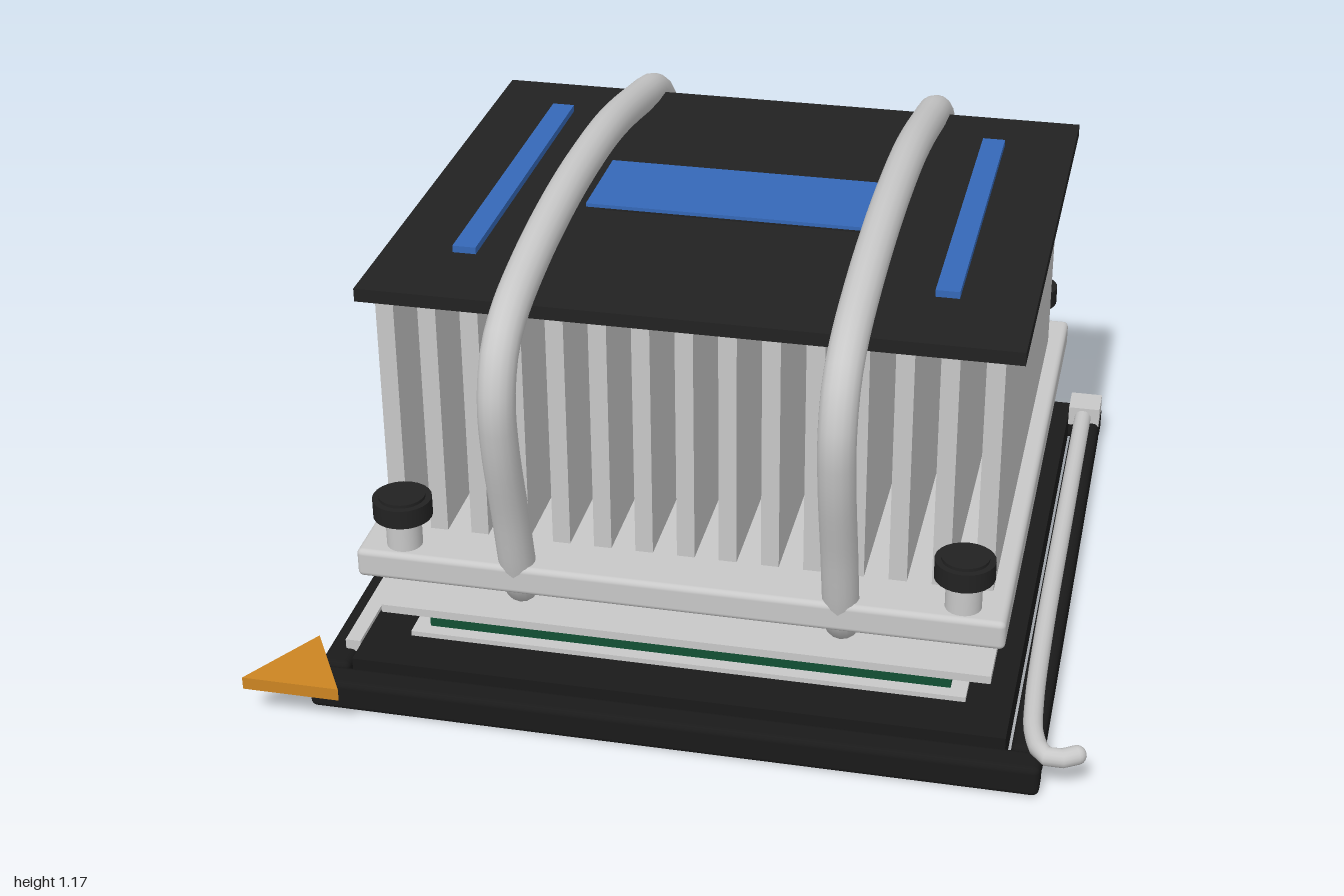
import * as THREE from 'three';
import { RoundedBoxGeometry } from 'three/addons/geometries/RoundedBoxGeometry.js';

const mat = (name, color) => {
  const m = new THREE.MeshStandardMaterial({ color });
  m.name = name;
  return m;
};

export function createModel() {
  const root = new THREE.Group();
  root.name = 'processorCooler';
  const black = mat('black plastic', 0x1a1a1a);
  const darkPlate = mat('dark plate', 0x222222);
  const metal = mat('light metal', 0xc8c8c8);
  const green = mat('board green', 0x125034);
  const blue = mat('accent blue', 0x3568b8);
  const gold = mat('marker gold', 0xcc8522);

  // Shared centre of the stacked parts
  const CX = 0.016, CZ = -0.04;
  const stack = new THREE.Group();
  stack.name = 'stack';
  stack.position.set(CX, 0, CZ);
  root.add(stack);

  const add = (parent, name, geo, material, x = 0, y = 0, z = 0) => {
    const m = new THREE.Mesh(geo, material);
    m.name = name;
    m.position.set(x, y, z);
    parent.add(m);
    return m;
  };
  // Box given by its bottom and top heights; r rounds the edges
  const slab = (name, material, w, d, y0, y1, x = 0, z = 0, r = 0) => {
    const h = y1 - y0;
    const geo = r ? new RoundedBoxGeometry(w, h, d, 3, r) : new THREE.BoxGeometry(w, h, d);
    return add(stack, name, geo, material, x, (y0 + y1) / 2, z);
  };

  // Socket: deck inside a frame of four rails
  slab('socketDeck', black, 1.59, 1.62, 0.005, 0.102);
  for (const s of [-1, 1]) {
    slab('socketEndRail', black, 1.766, 0.075, 0, 0.08, 0, s * 0.848, 0.016);
    slab('socketSideRail', black, 0.075, 1.61, 0, 0.08, s * 0.845, 0, 0.016);
  }
  slab('socketPlate', metal, 1.37, 1.37, 0.102, 0.115);
  slab('sideBar', metal, 0.038, 1.5, 0.075, 0.106, -0.817, -0.01);

  // Circuit board with small components along each edge
  slab('circuitBoard', green, 1.29, 1.305, 0.115, 0.146);
  for (let i = -3; i <= 3; i++) {
    for (const s of [-1, 1]) {
      slab('edgeComponent', black, 0.05, 0.03, 0.146, 0.158, i * 0.152, s * 0.605);
      slab('edgeComponent', black, 0.03, 0.05, 0.146, 0.158, s * 0.605, i * 0.152);
    }
  }

  // Heat spreader, retention plate and cold block
  slab('heatSpreader', metal, 1.13, 1.12, 0.146, 0.187);
  slab('retentionPlate', metal, 1.49, 1.436, 0.185, 0.206);
  slab('contactPad', metal, 0.985, 0.985, 0.206, 0.235);
  slab('coldBlock', metal, 1.074, 1.074, 0.23, 0.315, 0, 0, 0.014);
  slab('coolerBase', metal, 1.554, 1.554, 0.32, 0.394, 0, 0, 0.014);

  // Fins and cover
  for (let i = -7; i <= 7; i++) {
    slab('fin', metal, 0.043, 1.286, 0.39, 1.002, i * 0.1016);
  }
  slab('topCover', darkPlate, 1.554, 1.32, 1.0, 1.033);
  slab('centreAccentPad', darkPlate, 0.66, 0.24, 1.033, 1.046);
  slab('centreAccent', blue, 0.72, 0.27, 1.045, 1.054);
  for (const s of [-1, 1]) slab('sideAccent', blue, 0.057, 0.9, 1.045, 1.062, s * 0.574);

  // Corner thumbscrews
  const stem = new THREE.CylinderGeometry(0.043, 0.043, 0.09, 24);
  const head = new THREE.CylinderGeometry(0.071, 0.071, 0.048, 24);
  const cap = new THREE.CylinderGeometry(0.056, 0.056, 0.01, 24);
  for (const sx of [-1, 1]) for (const sz of [-1, 1]) {
    const screw = new THREE.Group();
    screw.name = 'thumbscrew';
    screw.position.set(sx * 0.672, 0, sz * 0.719);
    add(screw, 'screwStem', stem, metal, 0, 0.435, 0);
    add(screw, 'screwHead', head, darkPlate, 0, 0.498, 0);
    add(screw, 'screwCap', cap, darkPlate, 0, 0.525, 0);
    stack.add(screw);
  }

  // Round-ended tube along a smooth path
  const tube = (name, points, radius, segments) => {
    const g = new THREE.Group();
    g.name = name;
    const curve = new THREE.CatmullRomCurve3(points.map((p) => new THREE.Vector3(...p)));
    add(g, name + 'Body', new THREE.TubeGeometry(curve, segments, radius, 16), metal);
    for (const p of [points[0], points[points.length - 1]]) {
      add(g, name + 'End', new THREE.SphereGeometry(radius, 16, 10), metal, ...p);
    }
    root.add(g);
  };

  // Heat pipes: z, y along the arch
  const arch = [
    [0.625, 0.303], [0.67, 0.31], [0.695, 0.38], [0.735, 0.54], [0.79, 0.75], [0.8, 0.88],
    [0.76, 0.98], [0.675, 1.037], [0.476, 1.087], [0.23, 1.116], [0, 1.123], [-0.27, 1.11],
    [-0.566, 1.062], [-0.754, 1.017], [-0.835, 0.953], [-0.88, 0.83], [-0.868, 0.705],
    [-0.82, 0.52], [-0.785, 0.385], [-0.755, 0.315], [-0.705, 0.303],
  ];
  for (const x of [-0.372, 0.405]) {
    tube('heatPipe', arch.map(([z, y]) => [x, y, z]), 0.044, 72);
  }

  // Locking lever and its hinge
  tube('lockingLever', [
    [0.852, 0.095, -0.83], [0.852, 0.095, -0.3], [0.853, 0.095, 0.3], [0.86, 0.095, 0.6],
    [0.873, 0.095, 0.73], [0.905, 0.095, 0.805], [0.945, 0.095, 0.808], [0.977, 0.096, 0.79],
  ], 0.023, 48);
  add(root, 'leverHinge', new THREE.BoxGeometry(0.086, 0.055, 0.09), metal, 0.855, 0.098, -0.85);

  // Triangular corner markers pointing to the back
  const marker = (name, r, h, x, y, z) => {
    const geo = new THREE.CylinderGeometry(r, r, h, 3).toNonIndexed();
    geo.rotateY(Math.PI);
    geo.computeVertexNormals();
    add(root, name, geo, gold, x, y, z);
  };
  marker('socketMarker', 0.139, 0.032, -0.88, 0.104, 0.855);
  marker('boardMarker', 0.09, 0.02, -0.557, 0.156, 0.535);

  return root;
}
